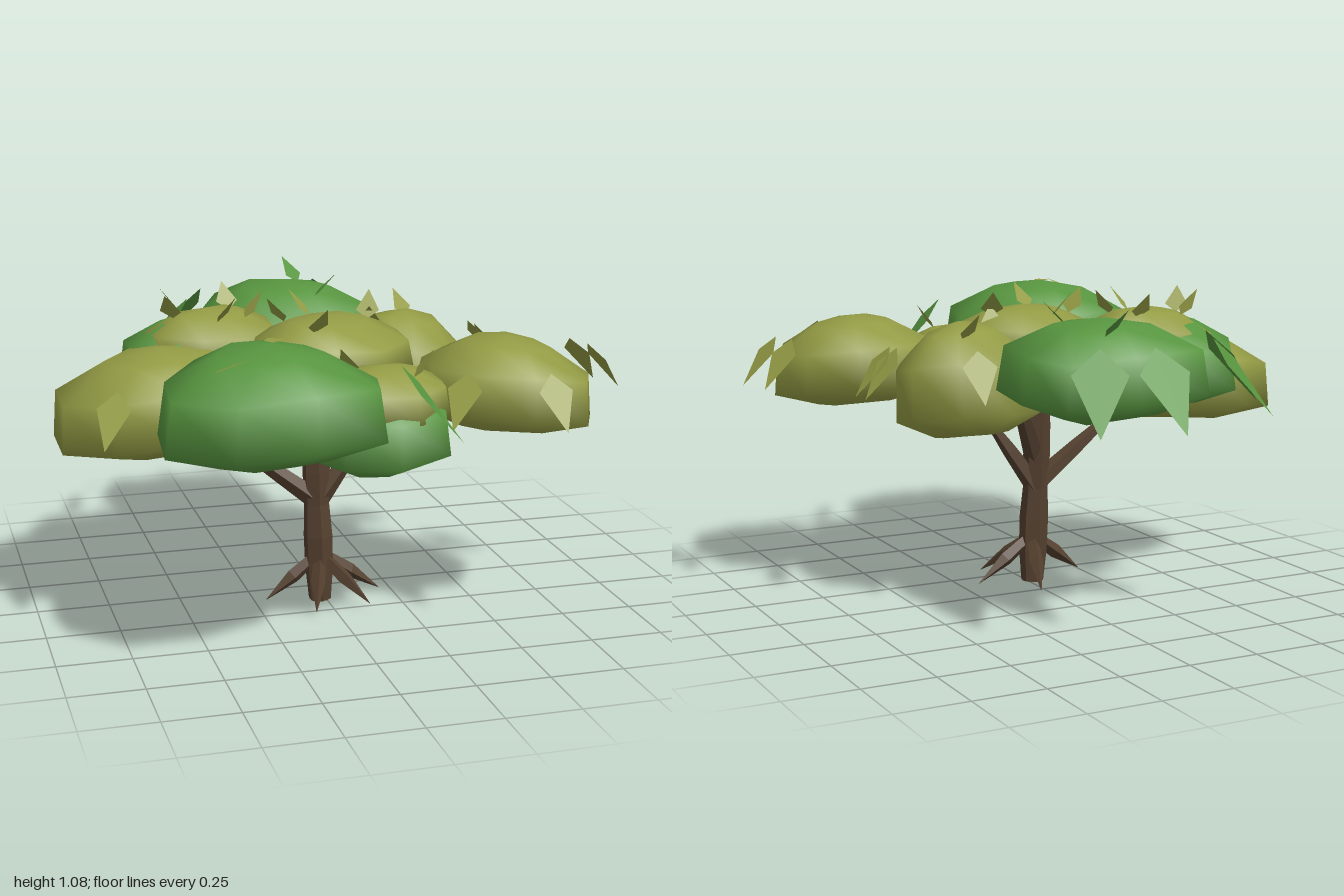
import * as THREE from 'three';
import { mergeVertices } from 'three/addons/utils/BufferGeometryUtils.js';

const V = (x, y, z) => new THREE.Vector3(x, y, z);

// Faceted limb that tapers along a curve
function limbGeometry(points, radii, sides, rings) {
  const curve = new THREE.CatmullRomCurve3(points);
  const geo = new THREE.TubeGeometry(curve, rings, 1, sides);
  const pos = geo.attributes.position;
  const v = V(0, 0, 0);
  for (let i = 0; i < pos.count; i++) {
    const t = Math.floor(i / (sides + 1)) / rings;
    const f = t * (radii.length - 1);
    const k = Math.min(Math.floor(f), radii.length - 2);
    const r = THREE.MathUtils.lerp(radii[k], radii[k + 1], f - k);
    const c = curve.getPointAt(t);
    v.fromBufferAttribute(pos, i).sub(c).multiplyScalar(r).add(c);
    pos.setXYZ(i, v.x, v.y, v.z);
  }
  const flat = geo.toNonIndexed();
  flat.computeVertexNormals();
  return flat;
}

// Smooth leaf cushion with few sides, a low rim and a hollowed underside
function cushionGeometry(rx, ry, rz, seed, boxy) {
  const profile = [V(0, -0.75, 0), V(0.5, -0.88, 0), V(1, -0.5, 0), V(0.93, 0.38, 0), V(0.47, 0.85, 0), V(0, 1, 0)];
  const raw = new THREE.LatheGeometry(profile, 9, seed);
  raw.deleteAttribute('uv');
  raw.deleteAttribute('normal');
  const pos = raw.attributes.position;
  for (let i = 0; i < pos.count; i++) {
    const x = pos.getX(i), y = pos.getY(i), z = pos.getZ(i);
    const a = Math.atan2(x, z);
    const k = 1.03 + 0.02 * Math.sin(2 * a + seed * 3) + 0.03 * Math.sin(3 * a + seed * 5) - boxy * Math.cos(4 * a);
    const lift = 0.1 * Math.hypot(x, z) * Math.sin(2 * a + seed);
    pos.setXYZ(i, x * k * rx, (y + lift) * ry, z * k * rz);
  }
  const geo = mergeVertices(raw, 1e-4);
  geo.computeVertexNormals();
  return geo;
}

// Kite-shaped leaf from base to tip
function leafGeometry(base, tip, width) {
  const side = tip.clone().sub(base).cross(V(0, 1, 0)).setLength(width / 2);
  const mid = base.clone().lerp(tip, 0.3);
  const left = mid.clone().add(side), right = mid.clone().sub(side);
  const geo = new THREE.BufferGeometry().setFromPoints([base, right, tip, base, tip, left]);
  geo.computeVertexNormals();
  return geo;
}

export function createModel() {
  const tree = new THREE.Group();
  tree.name = 'tree';
  const make = (name, color) => {
    const m = new THREE.MeshStandardMaterial({ color, side: THREE.DoubleSide });
    m.name = name;
    return m;
  };
  const bark = make('brown bark', 0x54402f);
  const green = make('leaf green', 0x589640);
  const olive = make('olive green', 0x949c45);
  const add = (geo, mat, name) => {
    const mesh = new THREE.Mesh(geo, mat);
    mesh.name = name;
    tree.add(mesh);
    return mesh;
  };

  // Trunk
  add(limbGeometry([V(-0.02, 0, 0.13), V(-0.025, 0.2, 0.13), V(-0.03, 0.4, 0.12), V(-0.03, 0.7, 0.1)],
    [0.04, 0.056, 0.045, 0.05, 0.04], 6, 6), bark, 'trunk');
  const base = add(new THREE.CircleGeometry(0.04, 6), bark, 'trunkBase');
  base.rotation.x = Math.PI / 2;
  base.position.set(-0.02, 0.001, 0.13);

  // Branches: tip, fork height on the trunk
  [
    [V(-0.36, 0.62, 0.1), 0.36],
    [V(0.17, 0.63, 0.13), 0.36],
    [V(0.16, 0.78, -0.08), 0.46],
    [V(-0.1, 0.67, 0.31), 0.53],
  ].forEach(([tip, height]) => {
    const fork = V(-0.025, height, 0.12);
    const bend = fork.clone().lerp(tip, 0.45);
    add(limbGeometry([fork, bend, tip], [0.038, 0.028, 0.012], 5, 4), bark, 'branch');
  });

  // Roots: thin spikes leaving the trunk low down
  const rootTop = V(-0.02, 0.17, 0.13);
  [V(-0.22, 0.02, 0.15), V(0.2, 0.015, 0.12), V(0.12, 0.02, 0.28),
    V(-0.08, 0.02, 0.31), V(0.05, 0.02, -0.08)].forEach((tip) => {
    const bend = rootTop.clone().lerp(tip, 0.4);
    add(limbGeometry([rootTop, bend, tip], [0.02, 0.026, 0.001], 4, 4), bark, 'root');
  });

  // Crown cushions: centre c, radii r, sideways tilt, rim leaf angles in degrees from the front,
  // number of small leaves on top, and drop of a green cushion underneath
  const crown = [
    { mat: green, c: V(0.02, 0.865, -0.475), r: V(0.345, 0.17, 0.3), boxy: 0.1, rim: [180, 152, -130, -95], tops: 2 },
    { mat: green, c: V(-0.315, 0.86, 0.65), r: V(0.37, 0.19, 0.345), rim: [74] },
    { mat: olive, c: V(-0.55, 0.75, 0.08), r: V(0.38, 0.18, 0.34), tilt: 0.1, rim: [-30] },
    { mat: olive, c: V(0.54, 0.82, 0.42), r: V(0.295, 0.16, 0.31), tilt: -0.08, rim: [114, 97, 5, -42] },
    { mat: olive, c: V(0.32, 0.79, -0.03), r: V(0.26, 0.205, 0.24), tilt: -0.1, rim: [166, 103, 93], tops: 2 },
    { mat: olive, c: V(0.01, 0.9, 0.13), r: V(0.28, 0.12, 0.29), tops: 4, under: 0.1 },
    { mat: olive, c: V(-0.35, 0.9, -0.11), r: V(0.24, 0.12, 0.215), tilt: 0.05, boxy: 0.08, tops: 5, under: 0.07 },
    { mat: olive, c: V(0.11, 0.82, 0.48), r: V(0.2, 0.1, 0.2), tops: 2, under: 0.1 },
  ];
  crown.forEach(({ mat, c, r, tilt = 0, boxy = 0.03, rim = [], tops = 0, under = 0 }, n) => {
    const seed = 0.3 + n * 0.6;
    const cushion = add(cushionGeometry(r.x, r.y, r.z, seed, boxy), mat, 'foliage');
    cushion.position.copy(c);
    cushion.rotation.z = tilt;

    // Green cushion showing beneath the olive one
    if (under) {
      const lower = add(cushionGeometry(r.x * 0.4 + 0.19, 0.16, r.z * 0.4 + 0.17, seed + 0.5, boxy), green, 'lowerFoliage');
      lower.position.set(c.x - 0.04, c.y - under, c.z - 0.02);
    }

    // Point on or around the cushion
    const around = (angle, reach, extra, y) => V(
      c.x + Math.sin(angle) * (r.x * reach + extra), y, c.z + Math.cos(angle) * (r.z * reach + extra));

    // Leaves hanging from the rim
    const size = mat === green ? 1 : 0.65;
    rim.forEach((degrees) => {
      const a = THREE.MathUtils.degToRad(degrees);
      const top = c.y + r.y * 0.65;
      add(leafGeometry(around(a, 1.08, 0, top), around(a, 1.08, 0.2 * size, top - 0.25 * size), 0.18 * size), mat, 'rimLeaf');
    });

    // Small leaves standing on top
    for (let i = 0; i < tops; i++) {
      const a = seed + i * 2.4;
      const y = c.y + r.y * 0.75;
      add(leafGeometry(around(a, 0.55, 0, y), around(a + 0.3, 0.6, 0.04, y + 0.09), 0.08), mat, 'topLeaf');
    }
  });

  // Olive leaves lying on the front green cushion
  add(leafGeometry(V(-0.52, 0.99, 0.73), V(-0.42, 1.04, 0.8), 0.07), olive, 'lyingLeaf');
  add(leafGeometry(V(-0.33, 1.053, 0.61), V(-0.26, 1.055, 0.61), 0.07), olive, 'lyingLeaf');

  return tree;
}
